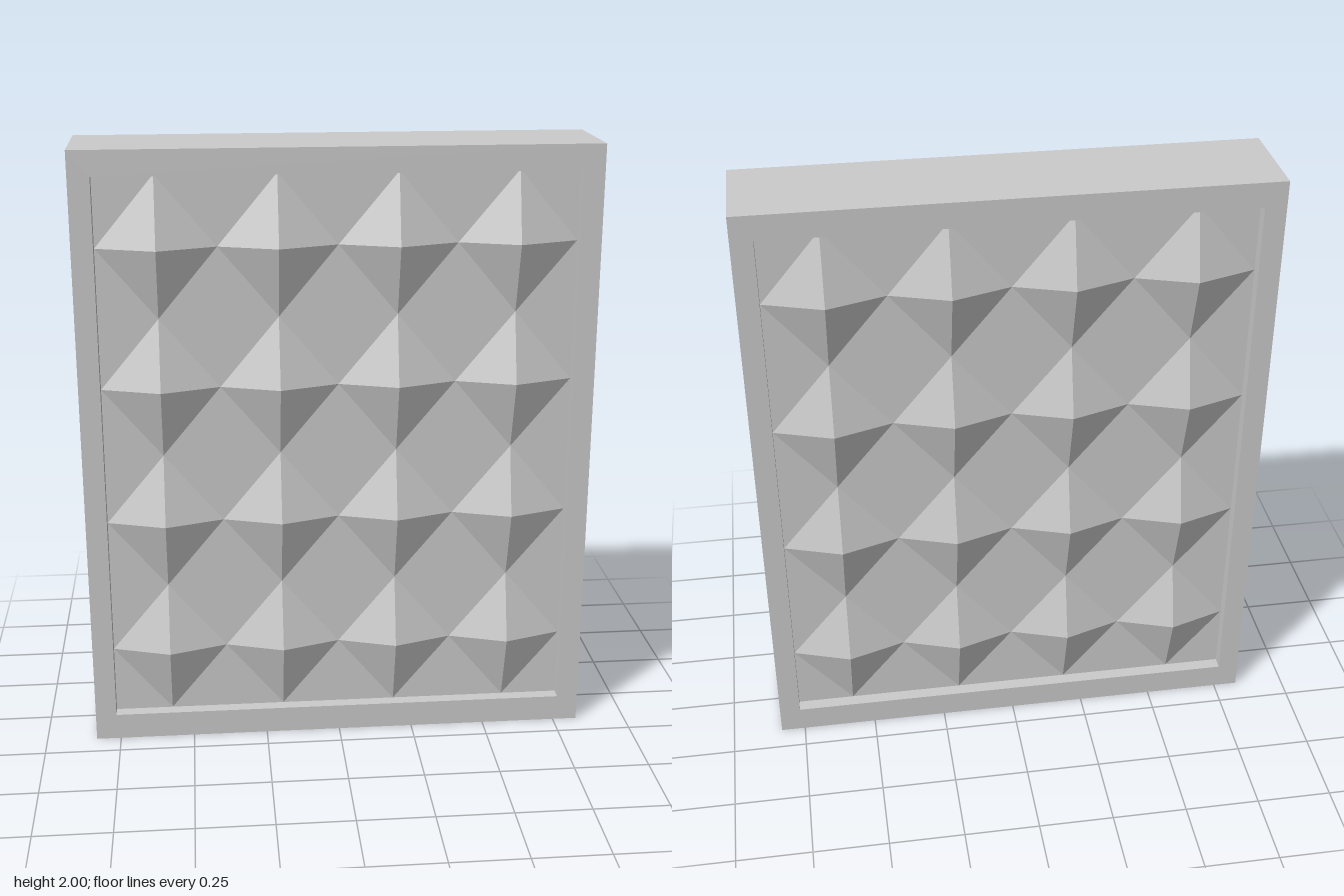
import * as THREE from 'three';

const WIDTH = 1.664, HEIGHT = 2, DEPTH = 0.334;
const OPEN_W = 1.525, OPEN_H = 1.83, OPEN_Y = 1.003; // opening in the frame
const PANEL_Z = 0.125, TIP_Z = 0.188;                // panel face and stud tip
const COLS = 4, ROWS = 4;

function rectangle(path, w, h, cy) {
  path.moveTo(-w / 2, cy - h / 2);
  path.lineTo(w / 2, cy - h / 2);
  path.lineTo(w / 2, cy + h / 2);
  path.lineTo(-w / 2, cy + h / 2);
  path.closePath();
  return path;
}

export function createModel() {
  const group = new THREE.Group();
  group.name = 'studdedPanel';
  const material = new THREE.MeshStandardMaterial({ color: 0xcccccc, flatShading: true });

  const add = (name, geometry, parent = group) => {
    const mesh = new THREE.Mesh(geometry, material);
    mesh.name = name;
    parent.add(mesh);
    return mesh;
  };

  // Rectangular surround with the panel opening cut through it
  const outline = rectangle(new THREE.Shape(), WIDTH, HEIGHT, HEIGHT / 2);
  outline.holes.push(rectangle(new THREE.Path(), OPEN_W, OPEN_H, OPEN_Y));
  const frame = new THREE.ExtrudeGeometry(outline, { depth: DEPTH, bevelEnabled: false });
  frame.translate(0, 0, -DEPTH / 2);
  add('frame', frame);

  // Recessed panel filling the opening
  add('panel', new THREE.BoxGeometry(OPEN_W, OPEN_H, PANEL_Z * 2)).position.y = OPEN_Y;

  // Diamond-based pyramid, tip pointing along +z
  const cellW = OPEN_W / COLS, cellH = OPEN_H / ROWS, rise = TIP_Z - PANEL_Z;
  const pyramid = new THREE.ConeGeometry(1, rise, 4, 1, true);
  pyramid.rotateX(Math.PI / 2);
  pyramid.scale(cellW / 2, cellH / 2, 1);
  pyramid.translate(0, 0, PANEL_Z + rise / 2);

  // Grid of studs on both faces, touching corner to corner
  for (const side of ['front', 'back']) {
    const studs = new THREE.Group();
    studs.name = side + 'Studs';
    if (side === 'back') studs.rotation.y = Math.PI;
    for (let row = 0; row < ROWS; row++) {
      for (let col = 0; col < COLS; col++) {
        add('diamondStud', pyramid, studs).position.set(
          (col - (COLS - 1) / 2) * cellW,
          OPEN_Y + (row - (ROWS - 1) / 2) * cellH,
          0
        );
      }
    }
    group.add(studs);
  }

  return group;
}
